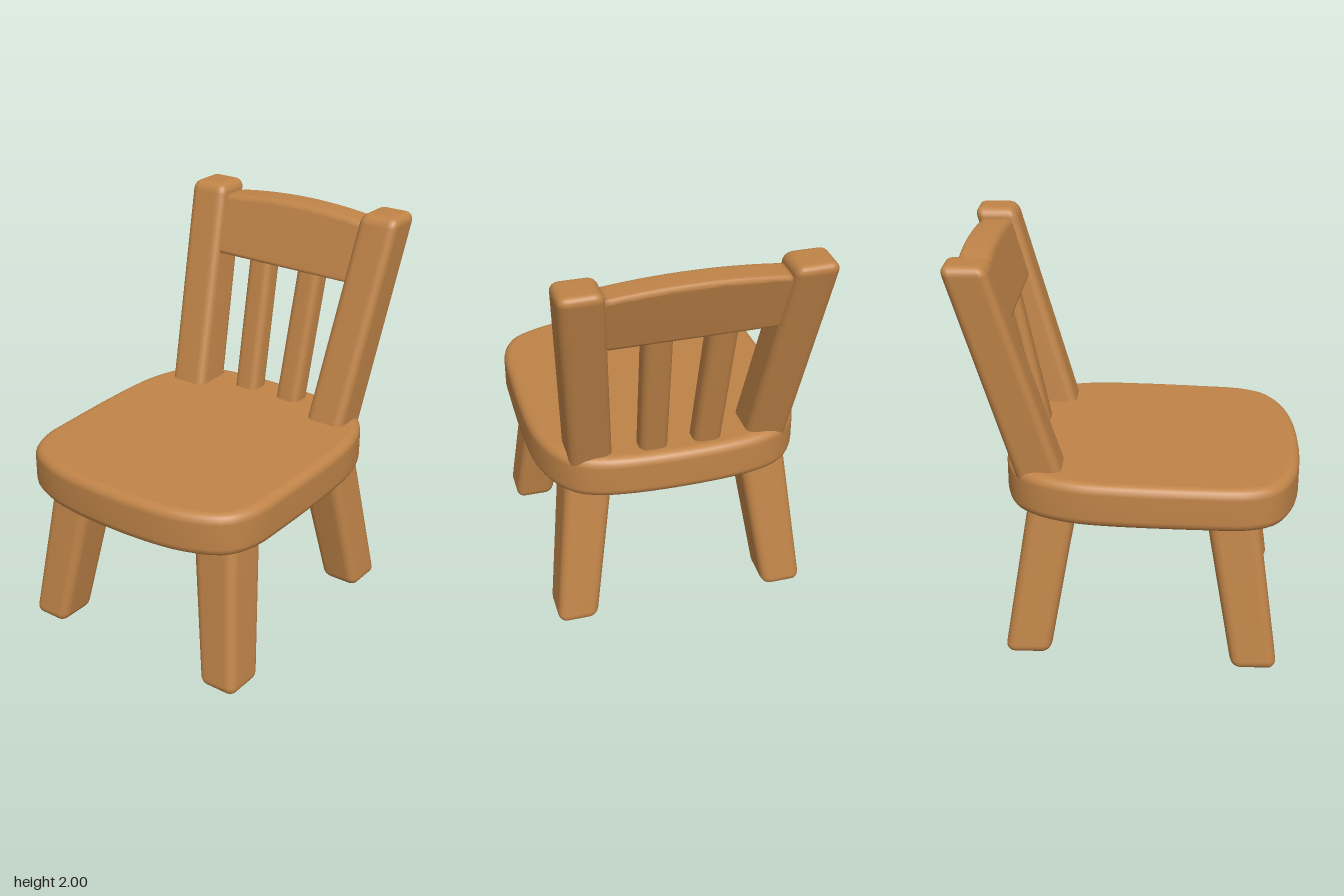
import * as THREE from 'three';
import { mergeVertices } from 'three/addons/utils/BufferGeometryUtils.js';
import { RoundedBoxGeometry } from 'three/addons/geometries/RoundedBoxGeometry.js';

// Weld the vertices so rounded edges shade smoothly
function smooth(geometry) {
  geometry.deleteAttribute('normal');
  geometry.deleteAttribute('uv');
  const welded = mergeVertices(geometry, 1e-4);
  welded.clearGroups();
  welded.computeVertexNormals();
  return welded;
}

// Move every vertex by a rule
function deform(geometry, rule) {
  const p = geometry.attributes.position;
  const v = new THREE.Vector3();
  for (let i = 0; i < p.count; i++) {
    rule(v.fromBufferAttribute(p, i));
    p.setXYZ(i, v.x, v.y, v.z);
  }
  return geometry;
}

// Leaning rounded bar; each end is { x, y, z, w, d }
function bar(low, high, radius) {
  const h = high.y - low.y;
  const geometry = new RoundedBoxGeometry(1, h, 1, 3, 0.001);
  geometry.dispose();
  const box = new RoundedBoxGeometry(low.w, h, low.d, 3, radius);
  return smooth(deform(box, (v) => {
    const t = v.y / h + 0.5;
    const mix = (key) => THREE.MathUtils.lerp(low[key], high[key], t);
    v.set(mix('x') + v.x * mix('w') / low.w, v.y + (low.y + high.y) / 2, mix('z') + v.z * mix('d') / low.d);
  }));
}

// Plump seat slab, slightly higher at the back
function seatGeometry() {
  const half = [[0.2, 0.815], [0.42, 0.775], [0.58, 0.69], [0.645, 0.56], [0.66, 0.35],
    [0.66, -0.12], [0.64, -0.28], [0.585, -0.43], [0.5, -0.53], [0.38, -0.58], [0.18, -0.607]];
  const outline = [...half, ...half.map(([x, z]) => [-x, z]).reverse()];
  const curve = new THREE.CatmullRomCurve3(outline.map(([x, z]) => new THREE.Vector3(x, z, 0)), true);
  const points = curve.getPoints(72).slice(0, -1).map((p) => new THREE.Vector2(p.x, p.y));
  const bevel = 0.045;
  const geometry = new THREE.ExtrudeGeometry(new THREE.Shape(points), {
    depth: 0.215 - 2 * bevel, bevelThickness: bevel, bevelSize: bevel, bevelOffset: -bevel, bevelSegments: 4,
  });
  geometry.rotateX(Math.PI / 2);
  return smooth(deform(geometry, (v) => { v.y += 0.985 - bevel - 0.025 * v.z; }));
}

// Back rail with an arched top, leaning with the posts
function railGeometry() {
  const shape = new THREE.Shape();
  shape.moveTo(-0.44, 1.655);
  shape.lineTo(0.44, 1.655);
  shape.lineTo(0.44, 1.945);
  shape.quadraticCurveTo(0, 2.01, -0.44, 1.945);
  const bevel = 0.025;
  const geometry = new THREE.ExtrudeGeometry(shape, {
    depth: 0.15 - 2 * bevel, bevelThickness: bevel, bevelSize: bevel, bevelOffset: -bevel,
    bevelSegments: 3, curveSegments: 16,
  });
  return smooth(deform(geometry, (v) => { v.z += -0.05 - 0.625 - 0.3 * (v.y - 1.67); }));
}

export function createModel() {
  const model = new THREE.Group();
  model.name = 'chair';
  const wood = new THREE.MeshStandardMaterial({ color: 0xc08448 });
  wood.name = 'warm wood';

  const add = (name, geometry) => {
    const mesh = new THREE.Mesh(geometry, wood);
    mesh.name = name;
    model.add(mesh);
  };

  add('seat', seatGeometry());
  add('backRail', railGeometry());

  for (const [side, s] of [['left', 1], ['right', -1]]) {
    // Splayed legs
    add(`${side}FrontLeg`, bar(
      { x: 0.535 * s, y: s > 0 ? 0.015 : 0, z: 0.61, w: 0.2, d: 0.22 },
      { x: 0.42 * s, y: 0.85, z: 0.475, w: 0.245, d: 0.25 }, 0.045));
    add(`${side}BackLeg`, bar(
      { x: 0.53 * s, y: 0.06, z: -0.49, w: 0.2, d: 0.22 },
      { x: 0.42 * s, y: 0.88, z: -0.35, w: 0.235, d: 0.235 }, 0.045));
    // Leaning back posts
    add(`${side}BackPost`, bar(
      { x: 0.42 * s, y: 0.88, z: -0.395, w: 0.205, d: 0.225 },
      { x: 0.512 * s, y: 2, z: -0.72, w: 0.205, d: 0.205 }, 0.045));
    // Thin spindles between seat and rail
    add(`${side}Spindle`, bar(
      { x: 0.128 * s, y: 0.92, z: -0.47, w: 0.135, d: 0.12 },
      { x: 0.15 * s, y: 1.72, z: -0.64, w: 0.135, d: 0.12 }, 0.04));
  }
  return model;
}
